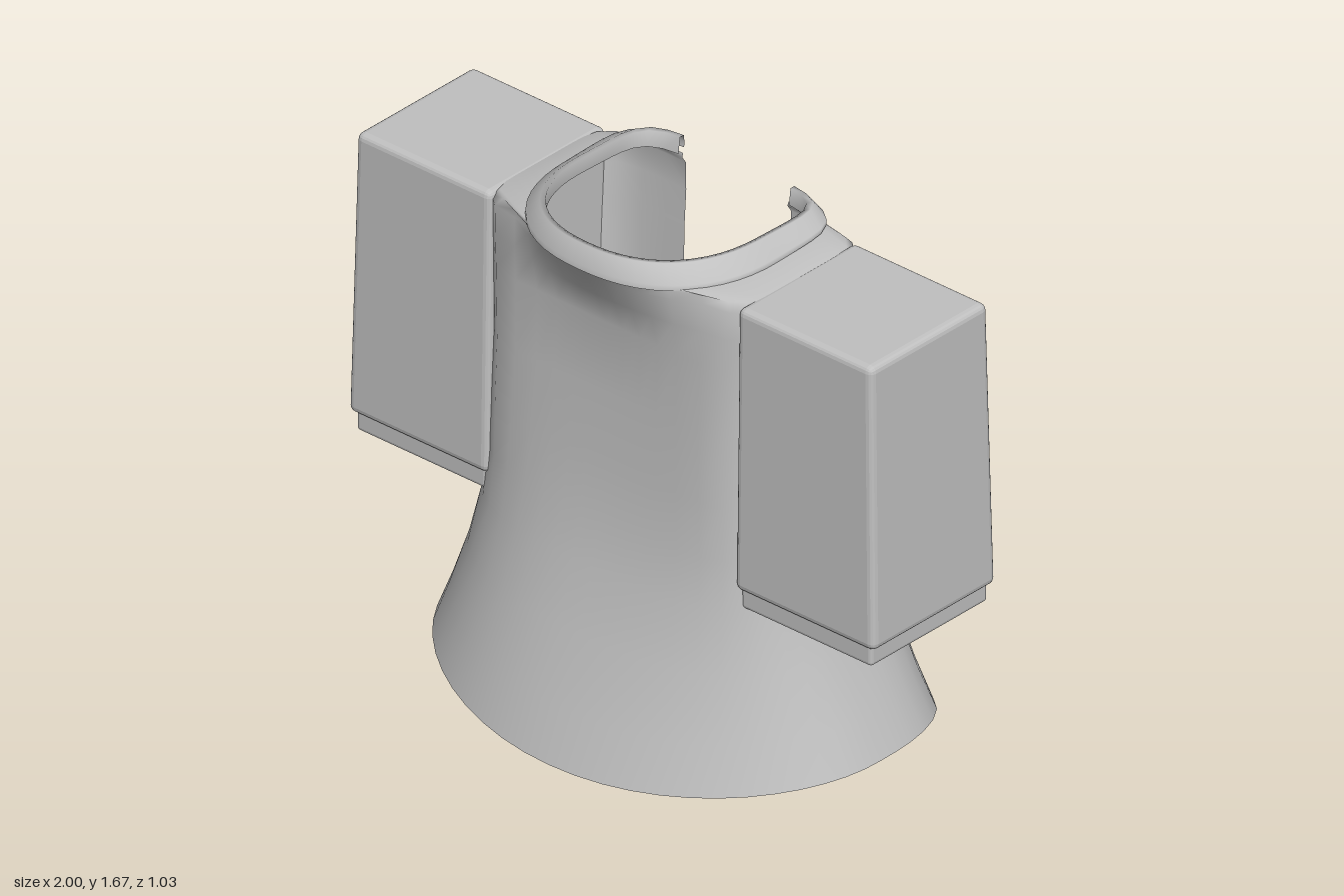
import * as THREE from 'three';
import { RoundedBoxGeometry } from 'three/addons/geometries/RoundedBoxGeometry.js';

const COLUMNS = 44;

// One open ring around the body: from one back edge, around the front, to the other back edge.
// w half width, zf / zb front and back depth, nf / nb squareness, gap half width of the back opening
function ring({ y, w, zf, zb, nf, nb, gap, bulge = 0, sag = 0, tilt = 0 }) {
  const u0 = gap / w;
  const start = Math.atan2(u0, Math.pow(1 - Math.pow(u0, nb), 1 / nb));
  const points = [];
  for (let i = 0; i <= COLUMNS; i++) {
    const a = start + (i / COLUMNS) * (2 * Math.PI - 2 * start);
    const s = Math.sin(a), c = -Math.cos(a);
    const n = c > 0 ? nf : nb;
    const r = Math.pow(Math.abs(s) ** n + Math.abs(c) ** n, -1 / n);
    const x = w * r * s;
    let z = r * c * (c > 0 ? zf : zb);
    const t = Math.abs(r * c);
    // pulled-out cloth below the collar
    if (c > 0) z += bulge * Math.max(0, 1 - (x / 0.36) ** 2);
    // the hem dips at the front and at the back corners
    const dip = sag * (c > 0 ? 0.085 * t ** 2 : 0.118 * t ** 5);
    points.push(new THREE.Vector3(x, y - dip + tilt * c * r, z));
  }
  return points;
}

// Surface through a list of rings
function loft(rings) {
  const pos = [], index = [], stride = COLUMNS + 1;
  rings.forEach((points) => points.forEach((p) => pos.push(p.x, p.y, p.z)));
  for (let j = 0; j < rings.length - 1; j++) {
    for (let i = 0; i < COLUMNS; i++) {
      const a = j * stride + i, b = a + stride;
      index.push(a, b, a + 1, a + 1, b, b + 1);
    }
  }
  const g = new THREE.BufferGeometry();
  g.setAttribute('position', new THREE.Float32BufferAttribute(pos, 3));
  g.setIndex(index);
  g.computeVertexNormals();
  return g;
}

function roundedBox(x0, x1, y0, y1, z0, z1, radius) {
  const g = new RoundedBoxGeometry(x1 - x0, y1 - y0, z1 - z0, 2, radius);
  g.translate((x0 + x1) / 2, (y0 + y1) / 2, (z0 + z1) / 2);
  return g;
}

export function createModel() {
  const cloth = new THREE.MeshStandardMaterial({ color: 0xc0c0c0, side: THREE.DoubleSide });
  cloth.name = 'grey cloth';
  const model = new THREE.Group();
  model.name = 'gown';

  const add = (name, geometry, parent = model) => {
    const mesh = new THREE.Mesh(geometry, cloth);
    mesh.name = name;
    parent.add(mesh);
    return mesh;
  };

  // Body: flared skirt, boxy chest, flat shoulders up to the neckline
  const rows = [
    // y, w, zf, zb, nf, nb, gap, bulge, sag
    [0.115, 0.78, 0.52, 0.53, 2, 3, 0.34, 0, 1],
    [0.24, 0.725, 0.465, 0.49, 2.1, 3, 0.32, 0, 0.6],
    [0.42, 0.65, 0.39, 0.445, 2.4, 3.1, 0.29, 0, 0.25],
    [0.6, 0.585, 0.335, 0.395, 3, 3.4, 0.26, 0, 0],
    [0.76, 0.54, 0.305, 0.335, 4, 4, 0.23, 0, 0],
    [0.93, 0.505, 0.288, 0.272, 6, 6, 0.21, 0, 0],
    [1.15, 0.485, 0.277, 0.275, 8, 8, 0.2, 0, 0],
    [1.38, 0.487, 0.272, 0.28, 9, 9, 0.2, 0, 0],
    [1.49, 0.492, 0.27, 0.287, 9, 9, 0.2, 0.045, 0],
    [1.58, 0.498, 0.265, 0.285, 9, 9, 0.2, 0.1, 0],
    [1.603, 0.485, 0.25, 0.27, 8, 8, 0.2, 0.125, 0],
    [1.615, 0.395, 0.383, 0.275, 2.3, 6, 0.2, 0, 0],
  ].map(([y, w, zf, zb, nf, nb, gap, bulge, sag]) =>
    ring({ y, w, zf, zb, nf, nb, gap, bulge, sag }));
  add('body', loft(rows));

  // Collar: narrow band leaning inwards, folded over at the top
  const collar = [
    [1.615, 0.4, 0.39, 0.29],
    [1.632, 0.4, 0.388, 0.292],
    [1.672, 0.345, 0.368, 0.29],
    [1.672, 0.33, 0.352, 0.275],
    [1.62, 0.335, 0.345, 0.268],
  ].map(([y, w, zf, zb], i) =>
    ring({ y, w, zf, zb, nf: 2.3, nb: 6, gap: 0.21, tilt: i < 2 ? -0.008 : 0.008 }));
  add('collar', loft(collar));

  // Sleeves: tall soft-edged boxes, slightly wider at the bottom, each with an inset cuff
  for (const side of [1, -1]) {
    const sleeve = new THREE.Group();
    sleeve.name = side > 0 ? 'leftSleeve' : 'rightSleeve';
    const box = roundedBox(0.47, 1, 0.68, 1.603, -0.265, 0.258, 0.022);
    const p = box.attributes.position;
    for (let i = 0; i < p.count; i++) {
      const t = (p.getY(i) - 0.68) / 0.92;
      if (p.getX(i) > 0.7) p.setX(i, p.getX(i) - 0.02 * t);
      p.setZ(i, p.getZ(i) * (1 - 0.05 * t));
    }
    const cuff = roundedBox(0.485, 0.98, 0.62, 0.75, -0.25, 0.245, 0.012);
    [box, cuff].forEach((g, k) => {
      if (side < 0) g.rotateY(Math.PI).scale(1, 1, 1).translate(0, 0, -0.007);
      g.computeVertexNormals();
      add(k ? 'cuff' : 'sleeveBox', g, sleeve);
    });
    model.add(sleeve);
  }

  return model;
}
